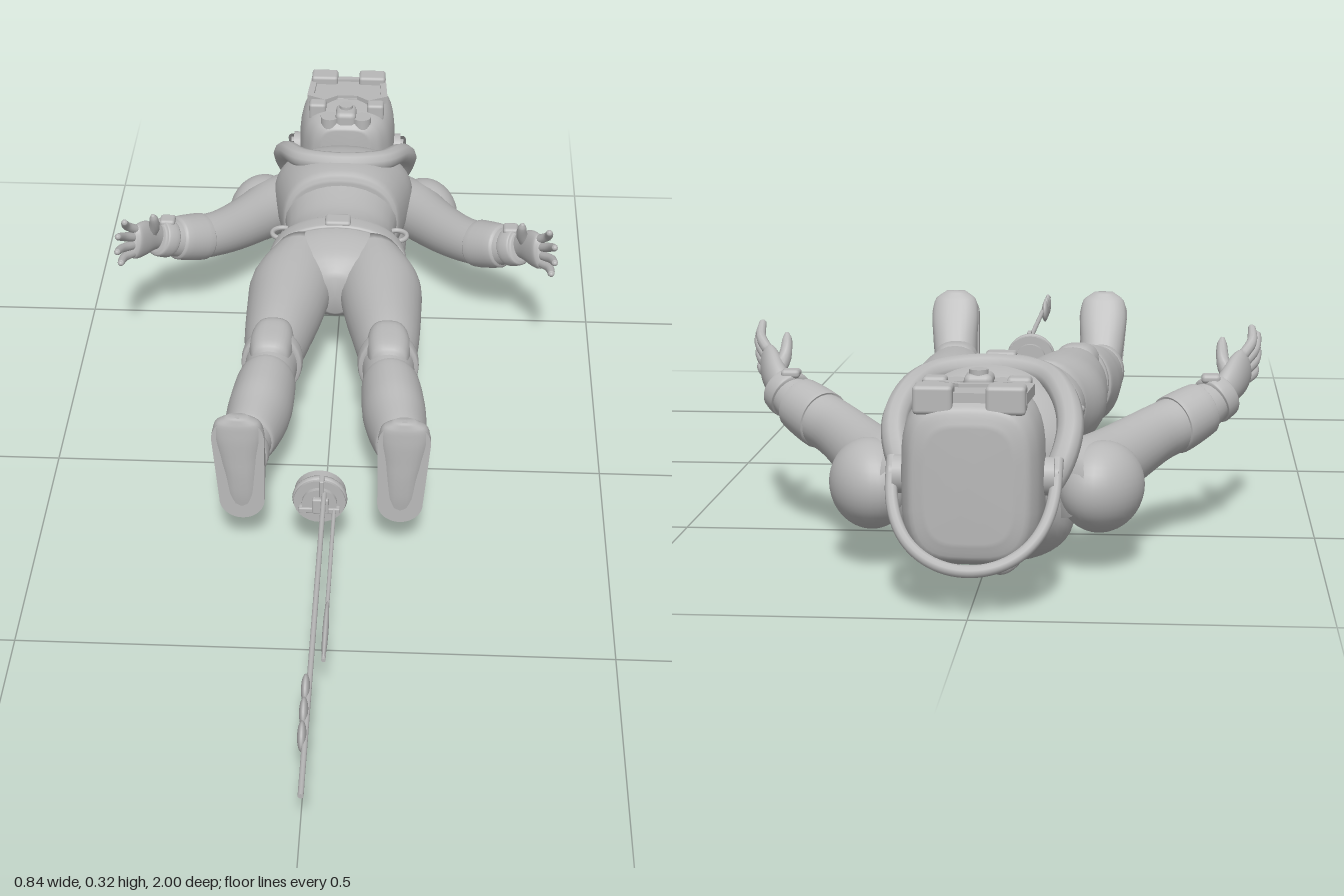
import * as THREE from 'three';
import { RoundedBoxGeometry } from 'three/addons/geometries/RoundedBoxGeometry.js';

const suit = new THREE.MeshStandardMaterial({ color: 0xb8b8b8, side: THREE.DoubleSide });
suit.name = 'suit grey';
const V = (x, y, z) => new THREE.Vector3(x, y, z);
const Y = V(0, 1, 0), Z = V(0, 0, 1);

function add(parent, name, geometry, x = 0, y = 0, z = 0) {
  const m = new THREE.Mesh(geometry, suit);
  m.name = name;
  m.position.set(x, y, z);
  parent.add(m);
  return m;
}

// Closed smooth skin through rows of [x, y, z, half width, half height]; s mirrors x, e squares the section
function loft(rows, { s = 1, e = 2, ref = Y, steps = 4, sides = 28, axis = null } = {}) {
  const path = new THREE.CatmullRomCurve3(rows.map(r => V(r[0] * s, r[1], r[2])));
  const size = new THREE.CatmullRomCurve3(rows.map((r, i) => V(r[3], r[4], i * 0.05)));
  const n = (rows.length - 1) * steps, pos = [], idx = [];
  const pw = v => Math.sign(v) * Math.pow(Math.abs(v), 2 / e);
  for (let i = 0; i <= n; i++) {
    const p = path.getPoint(i / n), r = size.getPoint(i / n);
    const t = axis ? axis.clone() : path.getTangent(i / n);
    const u = ref.clone().cross(t).normalize(), v = t.clone().cross(u);
    for (let j = 0; j < sides; j++) {
      const a = j / sides * Math.PI * 2;
      const q = p.clone().addScaledVector(u, r.x * pw(Math.cos(a))).addScaledVector(v, r.y * pw(Math.sin(a)));
      pos.push(q.x, q.y, q.z);
      if (i < n) {
        const k = i * sides, l = (j + 1) % sides;
        idx.push(k + j, k + l, k + sides + j, k + l, k + sides + l, k + sides + j);
      }
    }
  }
  // end caps
  for (const i of [0, n]) {
    const p = path.getPoint(i / n), c = pos.length / 3;
    pos.push(p.x, p.y, p.z);
    for (let j = 0; j < sides; j++) {
      const a = i * sides + j, b = i * sides + (j + 1) % sides;
      idx.push(c, ...(i ? [a, b] : [b, a]));
    }
  }
  const g = new THREE.BufferGeometry();
  g.setAttribute('position', new THREE.Float32BufferAttribute(pos, 3));
  g.setIndex(idx);
  g.computeVertexNormals();
  return g;
}

const tube = (pts, r, n = 40) => new THREE.TubeGeometry(new THREE.CatmullRomCurve3(pts.map(p => V(...p))), n, r, 10);
const rod = (r, len, axis, n = 20) => {
  const g = new THREE.CylinderGeometry(r, r, len, n);
  return axis === 'x' ? g.rotateZ(Math.PI / 2) : axis === 'z' ? g.rotateX(Math.PI / 2) : g;
};
const box = (w, h, d, r = 0.006) => new RoundedBoxGeometry(w, h, d, 2, r);

function buildTorso(g) {
  add(g, 'body', loft([[0, .185, -.29, .03, .04], [0, .185, -.33, .1, .07], [0, .19, -.38, .13, .078], [0, .19, -.42, .126, .078],
    [0, .187, -.48, .108, .074], [0, .185, -.53, .108, .08], [0, .18, -.6, .118, .095], [0, .17, -.7, .135, .1],
    [0, .165, -.76, .09, .08], [0, .165, -.81, .055, .055]], { axis: Z }));
  add(g, 'belt', loft([[0, .19, -.44, .124, .08], [0, .19, -.435, .131, .084], [0, .19, -.405, .135, .084], [0, .19, -.4, .13, .08]], { axis: Z, sides: 40 }));
  add(g, 'buckle', box(.05, .012, .034), 0, .274, -.42);
  add(g, 'chestVest', loft([[0, .185, -.56, .106, .09], [0, .182, -.568, .116, .112], [0, .178, -.62, .13, .118], [0, .172, -.69, .142, .112],
    [0, .16, -.74, .13, .1], [0, .155, -.79, .085, .075]], { axis: Z, e: 2.3, sides: 40 }));
  add(g, 'backShell', loft([[0, .135, -.49, .08, .02], [0, .118, -.52, .105, .043], [0, .097, -.57, .122, .057], [0, .082, -.63, .13, .07],
    [0, .077, -.69, .13, .074], [0, .088, -.74, .12, .07], [0, .11, -.79, .09, .05], [0, .12, -.805, .06, .03]], { axis: Z, e: 2.4, sides: 40 }));
  add(g, 'backPort', new THREE.SphereGeometry(1, 24, 12).scale(.04, .012, .028), 0, .012, -.62);
  // padded collar running from the nape down to the breastbone
  const half = [[.055, .10, -.805], [.108, .16, -.80], [.128, .22, -.765], [.115, .262, -.71], [.078, .282, -.645]];
  add(g, 'collar', tube([...half.map(([x, y, z]) => [-x, y, z]), [0, .288, -.622], ...half.slice().reverse()], .02, 60));
  add(g, 'nape', tube([[-.055, .1, -.805], [0, .085, -.81], [.055, .1, -.805]], .02, 12));
}

function buildLeg(g, s) {
  add(g, 'leg', loft([[.068, .19, -.4, .06, .07], [.084, .182, -.33, .078, .078], [.092, .178, -.25, .073, .077], [.102, .175, -.15, .06, .07],
    [.107, .17, -.08, .048, .06], [.11, .163, -.03, .047, .06], [.118, .15, .03, .052, .068], [.125, .147, .08, .048, .06],
    [.134, .15, .13, .041, .048], [.14, .148, .19, .036, .042], [.14, .148, .23, .034, .04]], { s, axis: Z }));
  add(g, 'shinGuard', loft([[.112, .16, -.035, .046, .058], [.113, .16, -.03, .053, .066], [.12, .15, .03, .057, .073], [.127, .147, .08, .053, .066],
    [.135, .15, .128, .046, .054], [.136, .15, .133, .04, .047]], { s, axis: Z, steps: 5 }));
  add(g, 'ankleCuff', loft([[.138, .15, .15, .036, .043], [.138, .15, .154, .043, .05], [.14, .15, .175, .043, .05], [.14, .15, .18, .036, .043]], { s, axis: Z }));
  add(g, 'kneePad', loft([[.105, .2, -.135, .02, .02], [.105, .204, -.128, .034, .037], [.107, .203, -.09, .04, .04], [.108, .2, -.05, .034, .036], [.109, .195, -.04, .02, .025]], { s, axis: Z, e: 2.6 }));
  add(g, 'kneeStrap', loft([[.106, .172, -.1, .05, .062], [.106, .172, -.097, .056, .068], [.107, .171, -.078, .055, .067], [.107, .171, -.075, .049, .06]], { s, axis: Z }));
  // boot stands toe up, with its sole facing the front
  add(g, 'boot', loft([[.136, .083, .225, .018, .02], [.136, .092, .215, .033, .04], [.137, .13, .21, .038, .05], [.138, .17, .212, .04, .05],
    [.14, .205, .222, .042, .04], [.141, .245, .234, .044, .028], [.141, .275, .242, .038, .018], [.141, .29, .246, .018, .01]], { s, ref: Z, axis: Y, e: 2.4 }));
  const sole = new THREE.Shape();
  sole.absarc(.141 * s, .245, .045, 0, Math.PI);
  sole.absarc(.136 * s, .12, .039, Math.PI, Math.PI * 2);
  add(g, 'sole', new THREE.ExtrudeGeometry(sole, { depth: .014, bevelEnabled: false, curveSegments: 20 }).rotateX(-.03), 0, 0, .246);
}

function buildArm(g, s) {
  add(g, 'arm', loft([[.11, .135, -.75, .05, .05], [.145, .137, -.7, .056, .058], [.18, .145, -.64, .05, .054], [.215, .157, -.58, .045, .049],
    [.25, .17, -.53, .042, .045], [.285, .182, -.495, .043, .043], [.32, .198, -.465, .038, .038], [.355, .218, -.435, .027, .028]], { s }));
  add(g, 'shoulderPad', new THREE.SphereGeometry(1, 32, 20).scale(.06, .068, .078).rotateY(.45 * s), .172 * s, .125, -.71);
  add(g, 'forearmGuard', loft([[.272, .178, -.508, .038, .038], [.276, .179, -.504, .046, .047], [.32, .198, -.465, .042, .043], [.325, .2, -.461, .034, .034]], { s }));
  add(g, 'wristCuff', loft([[.334, .206, -.452, .03, .03], [.337, .208, -.449, .038, .039], [.354, .217, -.435, .035, .037], [.357, .219, -.432, .026, .028]], { s }));
  add(g, 'wristPanel', box(.03, .014, .03), .335 * s, .245, -.452);
  add(g, 'palm', loft([[.35, .215, -.44, .018, .022], [.365, .228, -.418, .019, .03], [.378, .24, -.39, .018, .036], [.388, .248, -.365, .014, .033], [.391, .251, -.358, .006, .02]], { s }));
  // four fingers fanned upright, then the thumb
  const tips = [[.402, .31, -.335], [.412, .295, -.307], [.413, .27, -.293], [.408, .243, -.297]];
  tips.forEach(([x, y, z], i) => {
    const b = [.385 + i * .001, .268 - i * .014, -.378 + i * .004];
    add(g, 'finger', loft([[...b, .009, .009], [(b[0] + x) / 2 + .008, (b[1] + y) / 2, (b[2] + z) / 2, .0085, .0085], [x, y, z, .006, .006], [x, y + .003, z + .003, .002, .002]], { s, sides: 10 }));
  });
  add(g, 'thumb', loft([[.366, .235, -.415, .012, .012], [.355, .262, -.4, .011, .011], [.353, .29, -.385, .008, .008], [.354, .3, -.381, .003, .003]], { s, sides: 10 }));
  add(g, 'hipHook', new THREE.TorusGeometry(.02, .005, 8, 20).rotateX(Math.PI / 2), .113 * s, .2, -.49);
}

function buildHead(g) {
  add(g, 'helmet', loft([[0, .18, -.975, .06, .08], [0, .18, -.968, .082, .105], [0, .18, -.94, .096, .117], [0, .18, -.88, .1, .118],
    [0, .188, -.82, .092, .108], [0, .205, -.785, .072, .085], [0, .215, -.772, .05, .06]], { axis: Z, e: 3.6, sides: 40 }));
  // goggle frame with a sunken visor
  const frame = new THREE.Shape([[-.078, .055], [.078, .055], [.084, -.03], [.045, -.05], [.02, -.03], [-.02, -.03], [-.045, -.05], [-.084, -.03]].map(p => new THREE.Vector2(...p)));
  frame.holes.push(new THREE.Path([[-.066, .042], [-.07, -.022], [-.045, -.036], [-.022, -.018], [.022, -.018], [.045, -.036], [.07, -.022], [.066, .042]].map(p => new THREE.Vector2(...p))));
  add(g, 'goggleFrame', new THREE.ExtrudeGeometry(frame, { depth: .016, bevelEnabled: false }).rotateX(-Math.PI / 2), 0, .29, -.9);
  add(g, 'visor', box(.14, .008, .075, .003), 0, .297, -.907);
  for (const s of [-1, 1]) {
    add(g, 'browBlock', box(.055, .04, .04), .05 * s, .297, -.948);
    add(g, 'cheekBlock', box(.035, .035, .03), .06 * s, .292, -.835);
    add(g, 'filter', rod(.019, .04, 'y'), .033 * s, .278, -.795);
    add(g, 'earDisc', rod(.027, .026, 'x', 24), .1 * s, .178, -.888);
    add(g, 'earCap', rod(.016, .034, 'x', 20), .102 * s, .178, -.888);
    add(g, 'jawHose', tube([[.07 * s, .15, -.78], [.072 * s, .085, -.79], [.06 * s, .05, -.83], [.035 * s, .042, -.885], [.02 * s, .07, -.91]], .008));
  }
  add(g, 'respirator', box(.042, .05, .05, .01), 0, .285, -.805);
  add(g, 'respiratorValve', rod(.014, .02, 'y'), 0, .306, -.812);
  // hoop sloping from the ears round the crown
  const hoop = [];
  for (let i = 0; i <= 16; i++) {
    const a = i / 16 * Math.PI, k = Math.pow(Math.sin(a), .7);
    hoop.push([.116 * Math.cos(a), .2 - .135 * k, -.878 - .11 * k]);
  }
  add(g, 'crownHoop', tube(hoop, .009, 64));
}

function buildPendulum(g) {
  add(g, 'hub', rod(.044, .03, 'z', 28), 0, .155, .285);
  add(g, 'hubRim', new THREE.TorusGeometry(.04, .007, 8, 28), 0, .155, .29);
  add(g, 'hubBack', rod(.03, .05, 'z', 20), 0, .155, .282);
  add(g, 'hubBlock', box(.028, .03, .03, .003), .002, .155, .3);
  add(g, 'hubPost', box(.008, .05, .02, .002), .004, .18, .3);
  add(g, 'hubBar', box(.07, .01, .012, .002), 0, .143, .305);
  add(g, 'longRod', rod(.0045, .72, 'z', 10), .008, .178, .64);
  for (const z of [.78, .83, .88]) add(g, 'bead', new THREE.SphereGeometry(1, 20, 12).scale(.007, .023, .023), .003, .178, z);
  add(g, 'shortRod', rod(.0035, .38, 'z', 10), .025, .144, .49);
  add(g, 'blade', new THREE.SphereGeometry(1, 16, 10).scale(.005, .011, .07), .025, .144, .61);
}

export function createModel() {
  const model = new THREE.Group();
  model.name = 'recliningSuitedFigure';
  const part = (name, build, ...args) => {
    const g = new THREE.Group();
    g.name = name;
    build(g, ...args);
    model.add(g);
  };
  part('torso', buildTorso);
  part('head', buildHead);
  for (const [side, s] of [['left', 1], ['right', -1]]) {
    part(side + 'Leg', buildLeg, s);
    part(side + 'Arm', buildArm, s);
  }
  part('pendulum', buildPendulum);
  return model;
}
